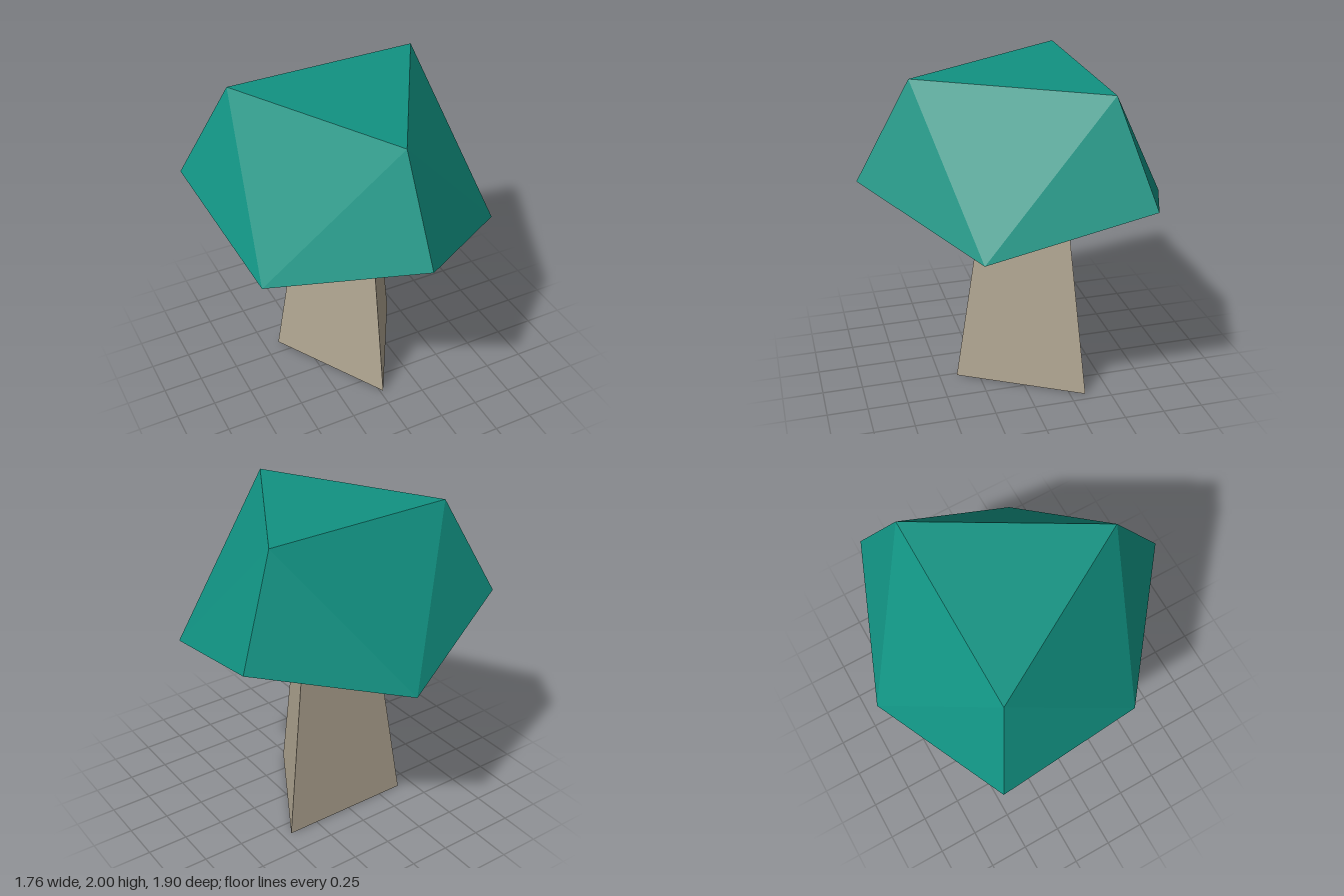
import * as THREE from 'three';

const leafGreen = new THREE.MeshStandardMaterial({ color: 0x119282, flatShading: true });
leafGreen.name = 'leafGreen';
const barkTan = new THREE.MeshStandardMaterial({ color: 0xb1a692, flatShading: true });
barkTan.name = 'barkTan';

// Faceted crown: three triangular rings (top, middle, bottom), each going front -> +x -> -x
function crownGeometry() {
  const top = [[0, 2, 0.62], [0.6, 2, -0.415], [-0.6, 2, -0.415]];
  const mid = [[0, 1.41, 0.95], [0.88, 1.41, -0.58], [-0.88, 1.41, -0.58]];
  const low = [[0.76, 1.15, 0.37], [0, 1.15, -0.95], [-0.76, 1.15, 0.37]];
  const faces = [...top, low[2], low[1], low[0]]; // flat top and underside
  for (let k = 0; k < 3; k++) {
    const n = (k + 1) % 3, p = (k + 2) % 3;
    faces.push(
      top[k], mid[k], low[k],
      top[k], low[k], top[n],
      top[n], low[k], mid[n],
      mid[k], low[p], low[k],
    );
  }
  const geometry = new THREE.BufferGeometry();
  geometry.setAttribute('position', new THREE.Float32BufferAttribute(faces.flat(), 3));
  geometry.computeVertexNormals();
  return geometry;
}

export function createModel() {
  const group = new THREE.Group();
  group.name = 'lowPolyTree';

  // Three-sided tapering trunk, running slightly into the crown
  const height = 1.3;
  const trunk = new THREE.Mesh(new THREE.CylinderGeometry(0.288, 0.49, height, 3), barkTan);
  trunk.name = 'trunk';
  trunk.position.set(0.02, height / 2, -0.1);

  const crown = new THREE.Mesh(crownGeometry(), leafGreen);
  crown.name = 'crown';

  group.add(trunk, crown);
  return group;
}
